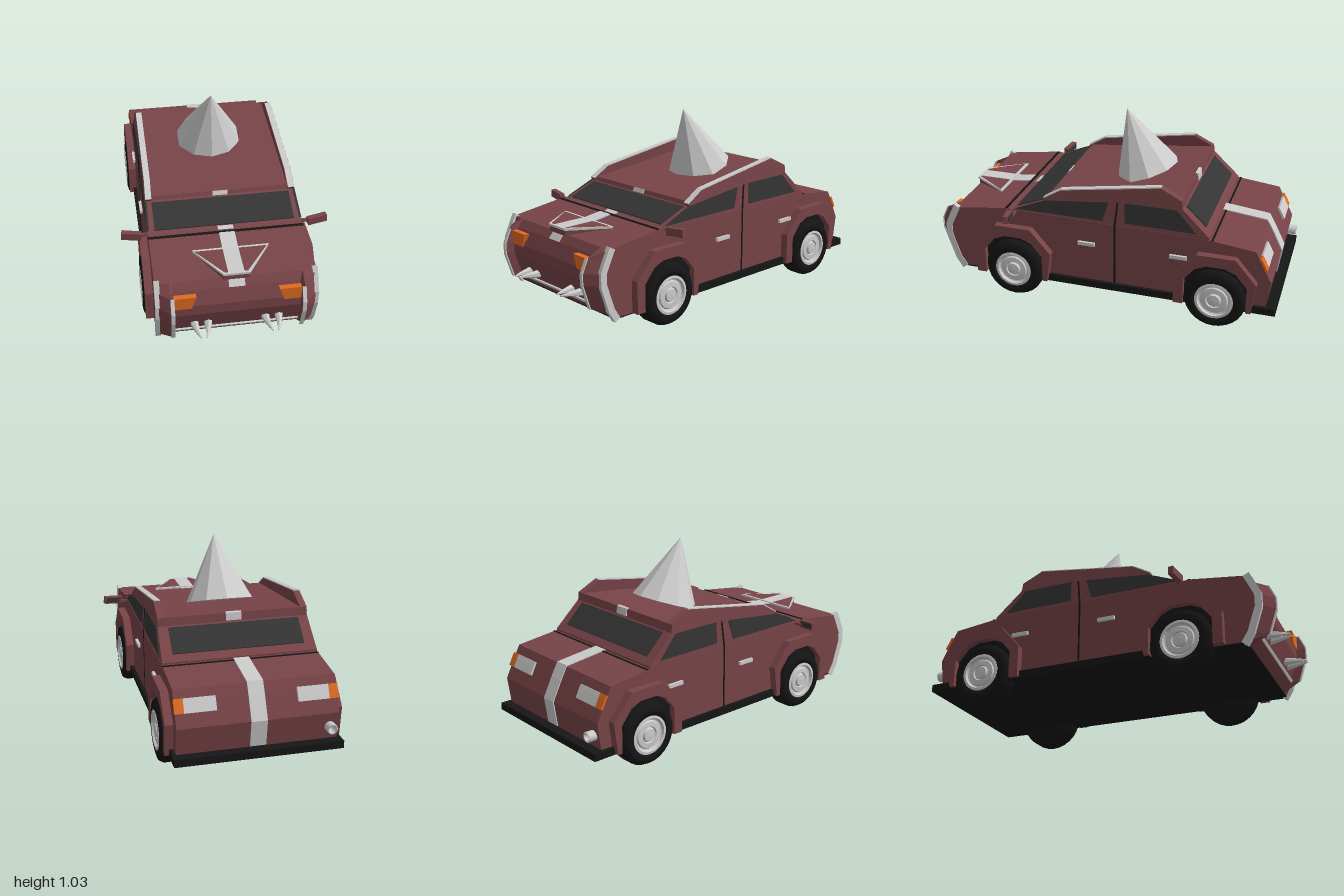
import * as THREE from 'three';

const mat = (color) => new THREE.MeshStandardMaterial({ color, flatShading: true });
const RED = mat(0x784448), GREY = mat(0xcccccc), BLACK = mat(0x161616), GLASS = mat(0x343434), ORANGE = mat(0xe06a20);
const SIDES = [-1, 1];

export function createModel() {
  const car = new THREE.Group();
  car.name = 'car';

  const add = (name, geometry, material, parent = car) => {
    const mesh = new THREE.Mesh(geometry, material);
    mesh.name = name;
    parent.add(mesh);
    return mesh;
  };
  const box = (name, m, w, h, d, x, y, z) => {
    const mesh = add(name, new THREE.BoxGeometry(w, h, d), m);
    mesh.position.set(x, y, z);
    return mesh;
  };
  // Side profile of [z, y] points, extruded across the car from xa to xb
  const prismGeometry = (pts, xa, xb, hole) => {
    const shape = new THREE.Shape(pts.map((p) => new THREE.Vector2(...p)));
    if (hole) shape.holes.push(new THREE.Path(hole.map((p) => new THREE.Vector2(...p))));
    return new THREE.ExtrudeGeometry(shape, { depth: Math.abs(xb - xa), bevelEnabled: false })
      .rotateY(-Math.PI / 2).translate(Math.max(xa, xb), 0, 0);
  };
  const prism = (name, m, pts, xa, xb, hole) => add(name, prismGeometry(pts, xa, xb, hole), m);
  // Thin layer following a [z, y] path, thickened outwards
  const slab = (name, m, path, xa, xb, t = 0.006) => {
    const outer = path.map((p, i) => {
      const a = path[Math.max(i - 1, 0)], b = path[Math.min(i + 1, path.length - 1)];
      const dz = b[0] - a[0], dy = b[1] - a[1], len = Math.hypot(dz, dy);
      return [p[0] + (dy / len) * t, p[1] - (dz / len) * t];
    });
    return prism(name, m, [...path, ...outer.reverse()], xa, xb);
  };
  // Cabin sides lean in slightly above the waist
  const lean = (mesh) => {
    const p = mesh.geometry.attributes.position;
    for (let i = 0; i < p.count; i++) p.setX(i, p.getX(i) * (1 - Math.max(0, p.getY(i) - 0.53) * 0.14));
    mesh.geometry.computeVertexNormals();
    return mesh;
  };

  // Lower body: one profile whose nose is recessed in the middle and swept back at the corners
  const nose = [[0.825, 0.12], [0.92, 0.175], [0.965, 0.31], [0.965, 0.37], [0.93, 0.445], [0.85, 0.485]];
  const tail = [[-0.62, 0.505], [-0.87, 0.475], [-0.905, 0.41], [-0.96, 0.3], [-0.935, 0.12]];
  const stations = [-0.42, -0.345, -0.33, 0.33, 0.345, 0.42];
  const shift = [-0.065, 0, -0.05, -0.05, 0, -0.065];
  const shell = new THREE.ExtrudeGeometry(
    new THREE.Shape([...nose, [0.54, 0.525], ...tail].map((p) => new THREE.Vector2(...p))),
    { depth: 5, steps: 5, bevelEnabled: false }).rotateY(-Math.PI / 2).translate(5, 0, 0);
  const sp = shell.attributes.position;
  for (let i = 0; i < sp.count; i++) {
    const k = Math.round(sp.getX(i));
    sp.setX(i, stations[k]);
    if (sp.getZ(i) > 0.88) sp.setZ(i, sp.getZ(i) + shift[k]);
  }
  shell.computeVertexNormals();
  add('body', shell, RED);
  box('sill', BLACK, 0.88, 0.04, 1.31, 0, 0.135, -0.34);
  box('frontUnderside', BLACK, 0.84, 0.008, 0.52, 0, 0.118, 0.565);

  // Cabin, roof and glass
  lean(prism('cabin', RED, [[0.53, 0.5], [0.53, 0.51], [0.3, 0.6], [0.29, 0.622], [-0.465, 0.705],
    [-0.47, 0.66], [-0.62, 0.515], [-0.62, 0.49]], -0.418, 0.418));
  slab('windshield', GLASS, [[0.478, 0.531], [0.315, 0.595]], -0.38, 0.38);
  slab('rearWindow', GLASS, [[-0.478, 0.652], [-0.588, 0.546]], -0.355, 0.355);
  slab('cowlSeam', BLACK, [[0.54, 0.524], [0.525, 0.526]], -0.42, 0.42, 0.004);
  slab('trunkSeam', BLACK, [[-0.632, 0.503], [-0.642, 0.502]], -0.42, 0.42, 0.004);

  // Centre stripe
  slab('hoodStripe', GREY, [[0.88, 0.445], [0.85, 0.485], [0.54, 0.525]], -0.042, 0.042);
  slab('cowlStripe', GREY, [[0.525, 0.512], [0.485, 0.528]], -0.042, 0.042);
  slab('roofStripe', GREY, [[0.3, 0.6], [0.29, 0.622]], -0.042, 0.042);
  slab('rearRoofStripe', GREY, [[-0.455, 0.704], [-0.465, 0.705], [-0.469, 0.665]], -0.042, 0.042);
  slab('trunkStripe', GREY, [[-0.6, 0.506], ...tail.slice(1, 4), [-0.94, 0.16]], -0.042, 0.042);

  // Hood scoop: tapered wedge with a raised pale rim
  const trapezoid = (w) => [[-0.2 - w, 0.66 - w], [0.2 + w, 0.66 - w], [0.065 + w * 0.6, 0.86 + w], [-0.065 - w * 0.6, 0.86 + w]]
    .map((p) => new THREE.Vector2(p[0], -p[1]));
  const flat = (pts, h, hole) => {
    const s = new THREE.Shape(pts);
    if (hole) s.holes.push(new THREE.Path(hole));
    return new THREE.ExtrudeGeometry(s, { depth: h, bevelEnabled: false }).rotateX(-Math.PI / 2);
  };
  add('hoodScoop', flat(trapezoid(0), 0.035), RED).position.y = 0.48;
  add('hoodScoopRim', flat(trapezoid(0.005), 0.012, trapezoid(-0.008)), GREY).position.y = 0.509;
  box('hoodScoopStripe', GREY, 0.084, 0.004, 0.19, 0, 0.516, 0.762);

  // Roof spike leaning forward
  const spike = add('roofSpike', new THREE.ConeGeometry(0.185, 0.37, 10), GREY);
  spike.position.set(0, 0.857, -0.105);
  spike.rotation.x = 0.34;

  // Nose trim
  const cheek = nose.slice(1, 5);
  slab('grilleTrim', GREY, [[0.866, 0.172], [0.873, 0.186]], -0.33, 0.33, 0.01);

  // Wheels
  const spin = (pts) => new THREE.LatheGeometry(pts.map((p) => new THREE.Vector2(...p)), 28).rotateZ(-Math.PI / 2);
  const tyre = spin([[0, -0.062], [0.135, -0.062], [0.158, -0.056], [0.17, -0.035], [0.17, 0.035],
    [0.158, 0.056], [0.135, 0.062], [0.105, 0.062], [0.1, 0.03]]);
  const rim = spin([[0.106, 0.03], [0.106, 0.064], [0.092, 0.066], [0.085, 0.052], [0.078, 0.05],
    [0.072, 0.058], [0.045, 0.06], [0.04, 0.052], [0.034, 0.064], [0, 0.066]]);
  const TYRE = new THREE.MeshStandardMaterial({ color: 0x141414, side: THREE.DoubleSide });

  for (const s of SIDES) {
    const P = (name, m, pts, a, b, hole) => prism(name, m, pts, s * a, s * b, hole);
    const S = (name, m, path, a, b, t) => slab(name, m, path, s * a, s * b, t);

    // Roof fins with pale top edge
    const finTop = [[0.31, 0.615], [0.21, 0.675], [-0.35, 0.762]];
    lean(P('roofFin', RED, [...finTop, [-0.465, 0.705], [-0.465, 0.68], [0.3, 0.6]], 0.382, 0.42));
    lean(S('roofFinEdge', GREY, finTop, 0.384, 0.418));

    // Side windows, door seam and handles
    lean(P('frontSideWindow', GLASS, [[0.475, 0.532], [0.3, 0.605], [-0.065, 0.645], [-0.03, 0.532]], 0.41, 0.422));
    lean(P('rearSideWindow', GLASS, [[-0.155, 0.535], [-0.155, 0.652], [-0.44, 0.652], [-0.55, 0.532]], 0.41, 0.422));
    lean(P('doorSeam', BLACK, [[-0.094, 0.15], [-0.094, 0.5], [-0.11, 0.65], [-0.118, 0.65], [-0.104, 0.5], [-0.104, 0.15]], 0.41, 0.422));
    for (const z of [0.062, -0.457]) box('doorHandle', GREY, 0.02, 0.02, 0.097, s * 0.425, 0.38, z);

    // Wing mirrors
    box('mirrorArm', RED, 0.07, 0.014, 0.014, s * 0.435, 0.513, 0.478);
    const mirror = box('mirror', RED, 0.108, 0.042, 0.03, s * 0.506, 0.521, 0.487);
    mirror.rotation.set(0, s * 0.15, s * 0.07);
    const glass = add('mirrorGlass', new THREE.BoxGeometry(0.092, 0.03, 0.004), GLASS, mirror);
    glass.position.z = -0.015;

    // Nose corner trim and headlights
    S('innerNoseTrim', GREY, cheek, 0.329, 0.349);
    S('outerNoseTrim', GREY, nose.map(([z, y], i) => [z - (i % 5 ? 0.09 : 0.03), y]), 0.396, 0.424, 0.038);
    const lamp = new THREE.Shape([[0.33, 0.435], [0.215, 0.435], [0.24, 0.362], [0.33, 0.362]]
      .map(([x, y]) => new THREE.Vector2(s * x, y)));
    const light = add('headlight', new THREE.ExtrudeGeometry(lamp, { depth: 0.03, bevelEnabled: false }), ORANGE);
    light.position.z = 0.892;

    // Pairs of claws on the nose, curving towards each other
    for (const c of SIDES) {
      const g = new THREE.CylinderGeometry(0.004, 0.026, 0.13, 6, 4).rotateX(Math.PI / 2);
      const p = g.attributes.position;
      for (let i = 0; i < p.count; i++) {
        const t = p.getZ(i) / 0.13 + 0.5;
        p.setX(i, p.getX(i) + c * (0.036 - 0.022 * t * t));
      }
      add('noseClaw', g, GREY).position.set(s * 0.187, 0.225, 0.935);
    }

    // Tail lights
    const rear = [[-0.893, 0.432], [-0.905, 0.41], [-0.927, 0.366]];
    S('tailLight', GREY, rear, 0.21, 0.375, 0.012);
    S('tailIndicator', ORANGE, rear, 0.375, 0.424, 0.012);

    // Wheels, dark wells and angular arches
    for (const c of [0.487, -0.668]) {
      const ring = (pts) => pts.map(([z, y]) => [c + z, y]);
      const opening = [[-0.172, 0.13], [-0.172, 0.27], [-0.11, 0.345], [-0.05, 0.37], [0.05, 0.37],
        [0.11, 0.345], [0.172, 0.27], [0.172, 0.13]];
      P('wheelArch', RED, ring([[-0.2, 0.12], [-0.222, 0.295], [-0.105, 0.43], [0.105, 0.43],
        [0.225, 0.295], [0.225, 0.12], ...[...opening].reverse().map(([z, y]) => [z, y === 0.13 ? 0.12 : y])]), 0.41, 0.463);
      P('wheelWell', BLACK, ring(opening), 0.38, 0.426);
      const wheel = new THREE.Group();
      wheel.name = 'wheel';
      add('tyre', tyre, TYRE, wheel);
      add('rim', rim, GREY, wheel);
      wheel.position.set(s * 0.408, 0.17, c);
      if (s < 0) wheel.rotation.y = Math.PI;
      car.add(wheel);
    }
  }

  // Exhaust pipe on one side
  const pipe = new THREE.LatheGeometry([[0.028, -0.05], [0.028, 0.04], [0.02, 0.04], [0.018, 0], [0, 0]]
    .map((p) => new THREE.Vector2(...p)), 12).rotateX(-Math.PI / 2);
  add('exhaust', pipe, new THREE.MeshStandardMaterial({ color: 0xcccccc, side: THREE.DoubleSide }))
    .position.set(-0.375, 0.225, -0.955);

  return car;
}
